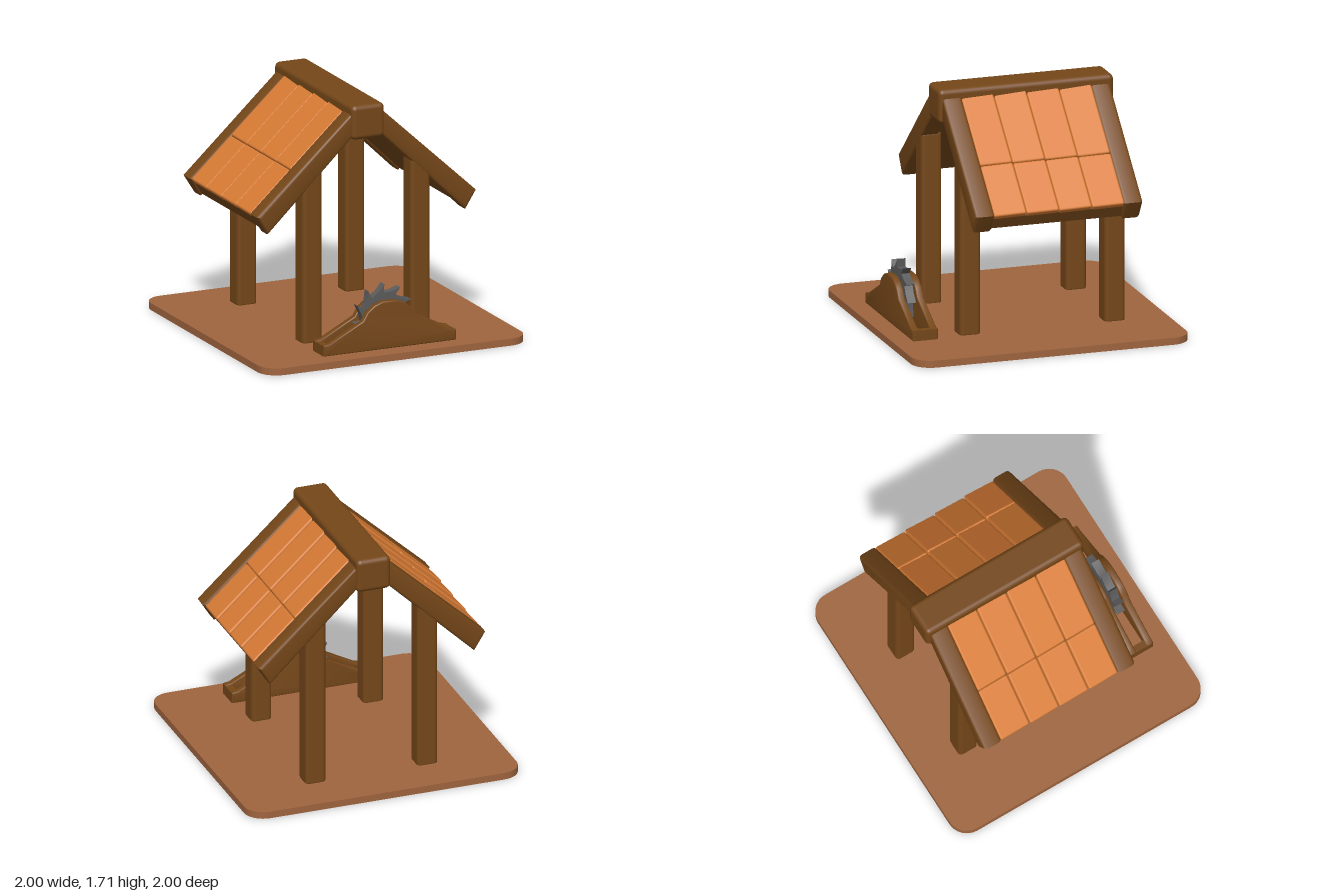
import * as THREE from 'three';
import { toCreasedNormals } from 'three/addons/utils/BufferGeometryUtils.js';
import { RoundedBoxGeometry } from 'three/addons/geometries/RoundedBoxGeometry.js';

const paint = (color) => new THREE.MeshStandardMaterial({ color });
const ground = paint(0xa0653f), wood = paint(0x754719), tileClay = paint(0xd97c35), steel = paint(0x5c5c5c);

export function createModel() {
  const model = new THREE.Group();

  const add = (name, geometry, material, x = 0, y = 0, z = 0, parent = model) => {
    const mesh = new THREE.Mesh(geometry, material);
    mesh.name = name;
    mesh.position.set(x, y, z);
    parent.add(mesh);
    return mesh;
  };
  const shapeOf = (points) => new THREE.Shape(points.map(([x, y]) => new THREE.Vector2(x, y)));

  // Extrude an outline from z0 to z1, with rounded edges kept inside the outline
  const slab = (points, z0, z1, bevel = 0) => {
    const g = new THREE.ExtrudeGeometry(shapeOf(points), {
      depth: z1 - z0 - 2 * bevel, bevelEnabled: bevel > 0, bevelThickness: bevel,
      bevelSize: bevel, bevelOffset: -bevel, bevelSegments: 3,
    });
    g.translate(0, 0, z0 + bevel);
    return toCreasedNormals(g, 0.65);
  };

  // Ground plate with rounded corners
  const plate = new THREE.Shape();
  const r = 0.14;
  [[1, 1], [-1, 1], [-1, -1], [1, -1]].forEach(([sx, sy], i) => {
    plate.absarc(sx * (1 - r), sy * (1 - r), r, i * Math.PI / 2, (i + 1) * Math.PI / 2);
  });
  const plateGeo = new THREE.ExtrudeGeometry(plate, { depth: 0.05, bevelEnabled: false, curveSegments: 4 });
  plateGeo.rotateX(-Math.PI / 2);
  add('groundPlate', plateGeo, ground);

  // Four corner posts
  for (const x of [-0.415, 0.405]) {
    for (const z of [0.435, -0.615]) {
      add('post', new RoundedBoxGeometry(0.15, 1.25, 0.15, 3, 0.03), wood, x, 0.655, z);
    }
  }

  // Ridge beam
  add('ridgeBeam', new RoundedBoxGeometry(0.25, 0.245, 1.27, 3, 0.035), wood, -0.005, 1.583, -0.095);

  // Roof slopes: two rafters, an inner panel and a grid of tiles on each side
  const pitch = Math.atan2(0.65, 0.705);
  const tilePitch = 0.237;
  for (const s of [1, -1]) {
    const slope = new THREE.Group();
    slope.name = s > 0 ? 'leftRoof' : 'rightRoof';
    slope.position.x = -0.005;
    model.add(slope);
    const side = (points) => points.map(([x, y]) => [s * x, y]);

    const rafter = side([[0.832, 0.99], [0.75, 0.86], [0.08, 1.505], [0.08, 1.683]]);
    add('rafter', slab(rafter, 0.375, 0.515, 0.025), wood, 0, 0, 0, slope);
    add('rafter', slab(rafter, -0.7, -0.56, 0.025), wood, 0, 0, 0, slope);

    const panel = side([[0.8, 0.965], [0.75, 0.88], [0.08, 1.525], [0.08, 1.628]]);
    add('roofPanel', slab(panel, -0.6, 0.42), wood, 0, 0, 0, slope);

    // Tiles lie along the slope, each tipped slightly sideways
    const tiles = new THREE.Group();
    tiles.name = 'tiles';
    tiles.position.set(s * 0.827, 0.988, 0);
    tiles.rotation.z = -s * pitch;
    slope.add(tiles);
    [[0, 0.41], [0.413, 0.98]].forEach(([a, b], row) => {
      for (let i = 0; i < 4; i++) {
        const geo = new RoundedBoxGeometry(b - a, 0.05, tilePitch - 0.004, 2, 0.014);
        const tile = add('roofTile', geo, tileClay, -s * (a + b) / 2, -0.022,
          0.38 - tilePitch * (i + 0.5), tiles);
        tile.rotation.x = (i + row) % 2 ? 0.03 : 0.045;
      }
    });
  }

  // Saw stand: two humped side boards joined by end blocks
  const stand = new THREE.Group();
  stand.name = 'sawStand';
  model.add(stand);
  const board = [
    [-0.5, 0.05], [0.505, 0.05], [0.505, 0.125], [0.46, 0.132], [0.2, 0.265], [0.165, 0.325],
    [0.11, 0.367], [0.05, 0.388], [-0.05, 0.388], [-0.11, 0.367], [-0.165, 0.325], [-0.2, 0.265],
    [-0.455, 0.132], [-0.5, 0.125],
  ];
  add('sideBoard', slab(board, 0.68, 0.73, 0.008), wood, 0, 0, 0, stand);
  add('sideBoard', slab(board, 0.815, 0.865, 0.008), wood, 0, 0, 0, stand);
  for (const x of [-0.475, 0.48]) {
    add('endBlock', new THREE.BoxGeometry(0.05, 0.073, 0.15), wood, x, 0.0865, 0.7725, stand);
  }

  // Saw blade with raked teeth
  const teeth = 11, outline = [];
  for (let i = 0; i < teeth; i++) {
    const tip = Math.PI / 2 - i * 2 * Math.PI / teeth;
    for (const [angle, radius] of [[tip + 0.27, 0.175], [tip, 0.225], [tip + 0.03, 0.165]]) {
      outline.push([Math.cos(angle) * radius, Math.sin(angle) * radius]);
    }
  }
  add('sawBlade', slab(outline, -0.03, 0.03), steel, -0.01, 0.268, 0.77);

  return model;
}
